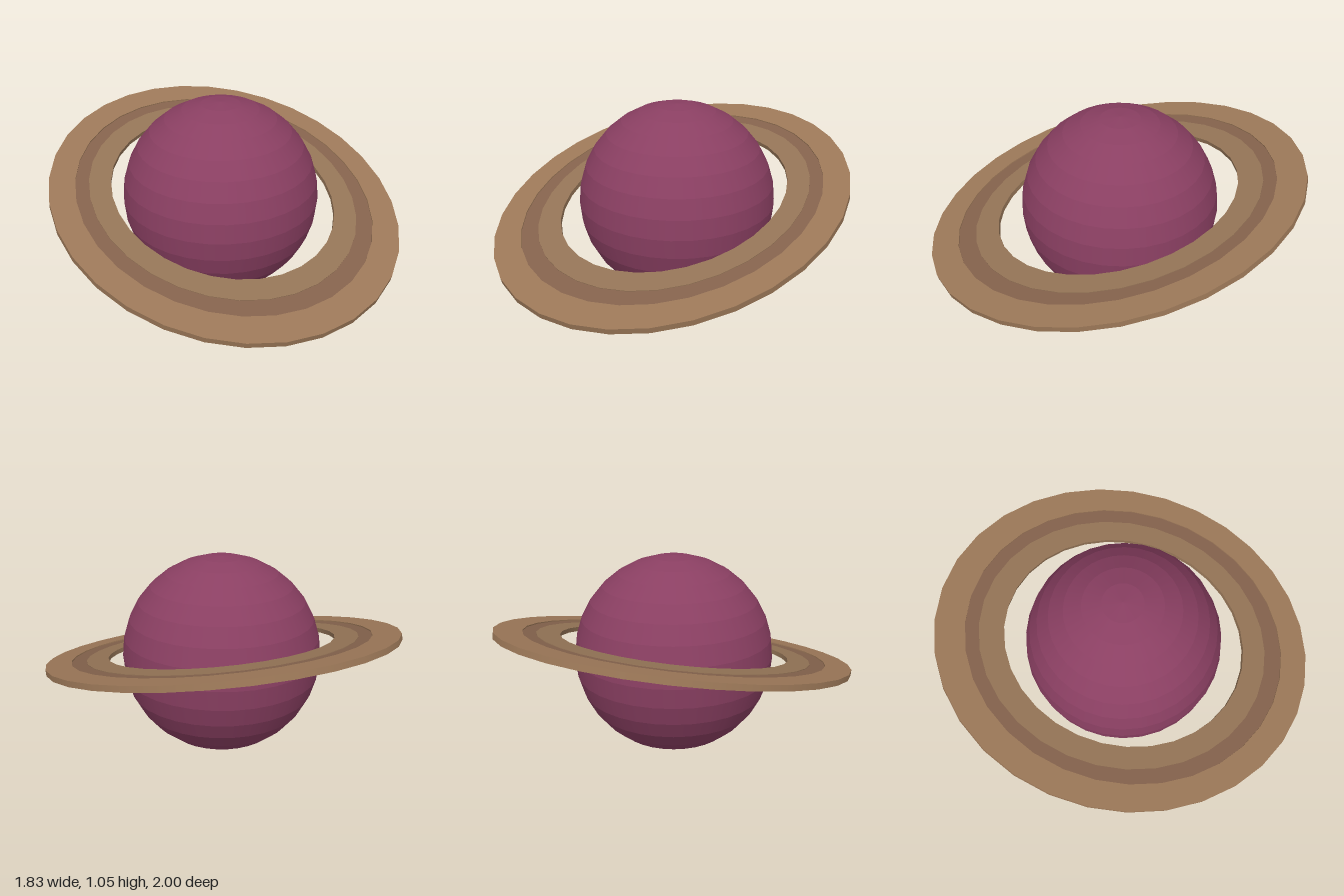
import * as THREE from 'three';
import { mergeGeometries } from 'three/addons/utils/BufferGeometryUtils.js';

const SEGMENTS = 32;

// Revolves a profile, smooth around the axis but with a crease at every profile point
function creasedLathe(profile) {
  const bands = [];
  for (let i = 0; i < profile.length - 1; i++) {
    bands.push(new THREE.LatheGeometry([profile[i], profile[i + 1]], SEGMENTS));
  }
  return mergeGeometries(bands);
}

function makeMesh(name, profile, color) {
  const mesh = new THREE.Mesh(creasedLathe(profile), new THREE.MeshStandardMaterial({ color }));
  mesh.name = name;
  return mesh;
}

// Flat annulus with a rectangular section
function ringBand(name, inner, outer, halfHeight, color) {
  const corners = [
    [inner, -halfHeight], [outer, -halfHeight], [outer, halfHeight],
    [inner, halfHeight], [inner, -halfHeight],
  ];
  return makeMesh(name, corners.map(([x, y]) => new THREE.Vector2(x, y)), color);
}

export function createModel() {
  const model = new THREE.Group();
  model.name = 'ringedPlanet';

  // Globe: sixteen latitude bands from south pole to north pole
  const radius = 0.527;
  const arc = [];
  for (let i = 0; i <= 16; i++) {
    const a = -Math.PI / 2 + (i / 16) * Math.PI;
    arc.push(new THREE.Vector2(Math.max(0, radius * Math.cos(a)), radius * Math.sin(a)));
  }
  const globe = makeMesh('globe', arc, 0x8a3f62);
  globe.position.set(0, radius, -0.035);
  model.add(globe);

  // Ring system: stretched front to back, tilted down at the front
  const rings = new THREE.Group();
  rings.name = 'rings';
  rings.add(ringBand('outerRing', 0.78, 0.915, 0.015, 0x9c7858));
  rings.add(ringBand('middleRing', 0.69, 0.785, 0.009, 0x84624c));
  const innerRing = ringBand('innerRing', 0.59, 0.705, 0.012, 0x947456);
  innerRing.position.z = -0.013;
  rings.add(innerRing);
  rings.scale.z = 1.122;
  rings.rotation.x = 0.238;
  rings.position.y = 0.543;
  model.add(rings);

  return model;
}
